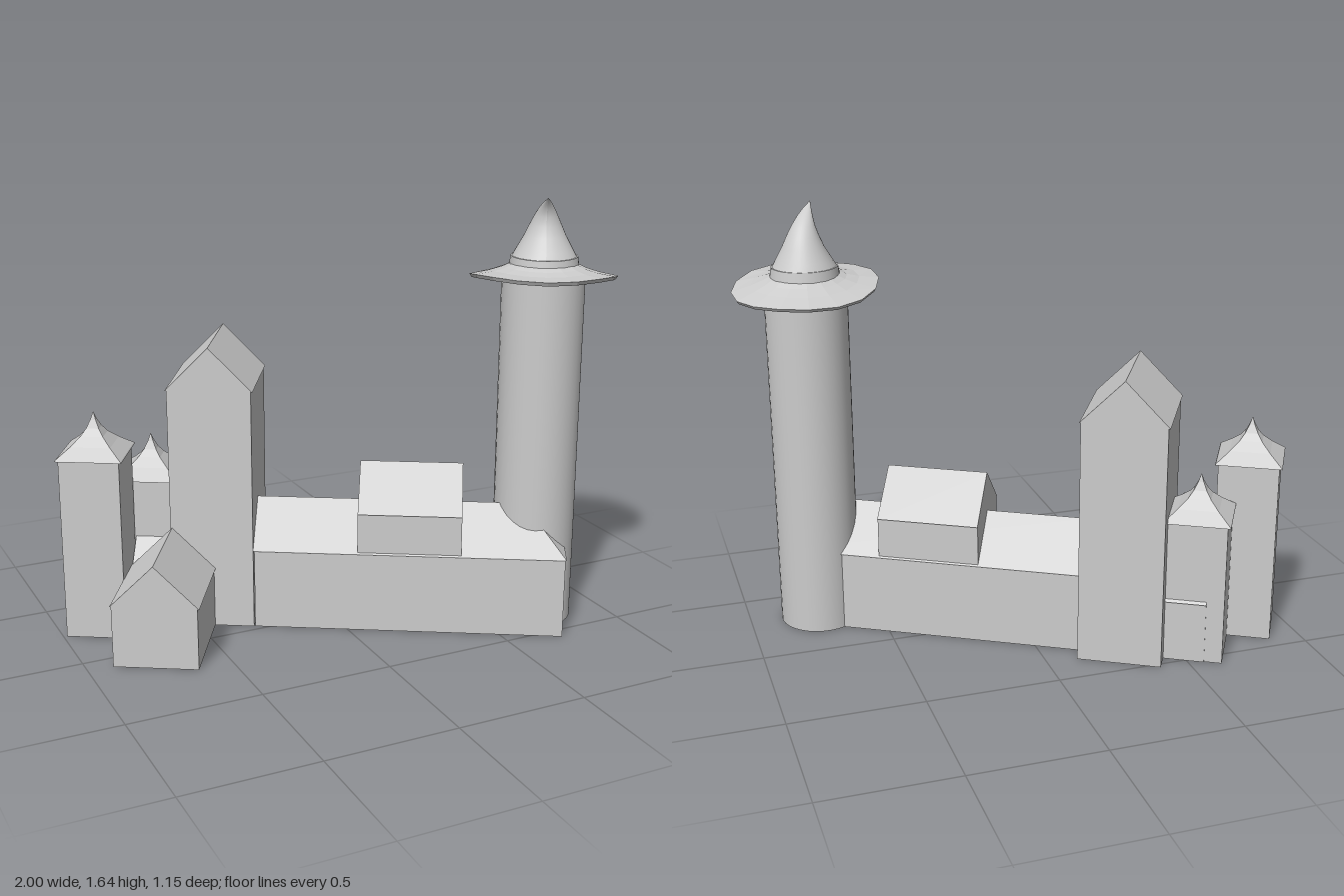
import * as THREE from 'three';

const stone = new THREE.MeshStandardMaterial({ color: 0xcccccc });
stone.name = 'pale grey';

export function createModel() {
  const model = new THREE.Group();
  model.name = 'castle';
  // The castle is laid out square, then turned on its base
  const castle = new THREE.Group();
  castle.name = 'castleBuildings';
  castle.rotation.y = -Math.PI / 6;
  model.add(castle);

  const add = (name, geometry, x = 0, y = 0, z = 0, turn = 0) => {
    const mesh = new THREE.Mesh(geometry, stone);
    mesh.name = name;
    mesh.position.set(x, y, z);
    mesh.rotation.y = turn;
    castle.add(mesh);
    return mesh;
  };
  const extrude = (points, depth) => new THREE.ExtrudeGeometry(
    new THREE.Shape(points.map(p => new THREE.Vector2(...p))),
    { depth, bevelEnabled: false });

  // Gabled building: half width over the eaves, eave and ridge heights
  const gabled = (half, eave, ridge, length) => {
    const wall = half - 0.006;
    return extrude([[-wall, 0], [wall, 0], [wall, eave], [half, eave], [0, ridge],
      [-half, eave], [-wall, eave]], length);
  };

  add('keep', gabled(0.163, 0.935, 1.1, 0.392), -0.441, 0, -0.26);
  add('gatehouse', gabled(0.163, 0.235, 0.395, 0.385), -0.592, 0, 0.13);
  add('linkBuilding', gabled(0.163, 0.235, 0.395, 0.2), -0.75, 0, -0.03, Math.PI / 2);
  add('hall', gabled(0.165, 0.47, 0.63, 0.39), 0.112, 0, -0.03, Math.PI / 2);

  // Long wall with a roof hipped at the far end
  add('longWall', new THREE.BoxGeometry(1.17, 0.31, 0.32), 0.305, 0.155, -0.03);
  const wallRoof = extrude([[-0.165, 0], [0.165, 0], [0, 0.165]], 1.18);
  const p = wallRoof.attributes.position;
  for (let i = 0; i < p.count; i++) {
    if (p.getY(i) > 0.1 && p.getZ(i) > 1) p.setZ(i, 1.18 - 0.16);
  }
  wallRoof.computeVertexNormals();
  add('longWallRoof', wallRoof, -0.285, 0.31, -0.03, Math.PI / 2);

  // Square towers with curved, pointed roofs
  const spireProfile = [[0, 0], [0.124, 0], [0.122, 0.004], [0.075, 0.042], [0.042, 0.074],
    [0.024, 0.1], [0.01, 0.13], [0, 0.16]]
    .map(([r, y]) => new THREE.Vector2(r * Math.SQRT2, y));
  const spire = new THREE.LatheGeometry(spireProfile, 4, Math.PI / 4).toNonIndexed();
  spire.computeVertexNormals();
  for (const [name, x, z, h] of [['tallSquareTower', -0.866, 0.165, 0.7],
    ['shortSquareTower', -0.703, -0.07, 0.547]]) {
    add(name, new THREE.BoxGeometry(0.226, h, 0.226), x, h / 2, z);
    add(name + 'Roof', spire, x, h, z);
  }

  // Round tower
  const tx = 0.778, tz = -0.103;
  add('roundTower', new THREE.CylinderGeometry(0.154, 0.154, 1.335, 32), tx, 0.6675, tz);

  // Wavy brim, tilted a little
  const brim = new THREE.LatheGeometry([[0, 1.328], [0.155, 1.328], [0.264, 1.332],
    [0.272, 1.345], [0.2, 1.36], [0.155, 1.374], [0.125, 1.388]]
    .map(q => new THREE.Vector2(...q)), 16);
  const b = brim.attributes.position;
  for (let i = 0; i < b.count; i++) {
    const x = b.getX(i), z = b.getZ(i);
    const f = (Math.hypot(x, z) / 0.27) ** 2, a = Math.atan2(z, x);
    b.setY(i, b.getY(i) + f * (0.03 * Math.sin(a) + 0.006 * Math.sin(3 * a)));
  }
  const brimFlat = brim.toNonIndexed();
  brimFlat.computeVertexNormals();
  add('hatBrim', brimFlat, tx, 0, tz);
  add('hatBand', new THREE.CylinderGeometry(0.123, 0.129, 0.04, 32), tx, 1.397, tz);

  // Bent cone: height, radius and sideways shift of each ring
  const rings = [[1.405, 0.124, 0], [1.44, 0.105, -0.003], [1.49, 0.077, -0.006],
    [1.53, 0.059, -0.003], [1.565, 0.043, 0.007], [1.595, 0.029, 0.028],
    [1.62, 0.015, 0.056], [1.64, 0.0005, 0.09]];
  const cone = new THREE.CylinderGeometry(1, 1, 1, 32, rings.length - 1, true);
  const c = cone.attributes.position;
  for (let i = 0; i < c.count; i++) {
    const [y, r, shift] = rings[Math.round((c.getY(i) + 0.5) * (rings.length - 1))];
    c.setXYZ(i, c.getX(i) * r, y, c.getZ(i) * r + shift);
  }
  cone.computeVertexNormals();
  add('hatCone', cone, tx, 0, tz);

  return model;
}
